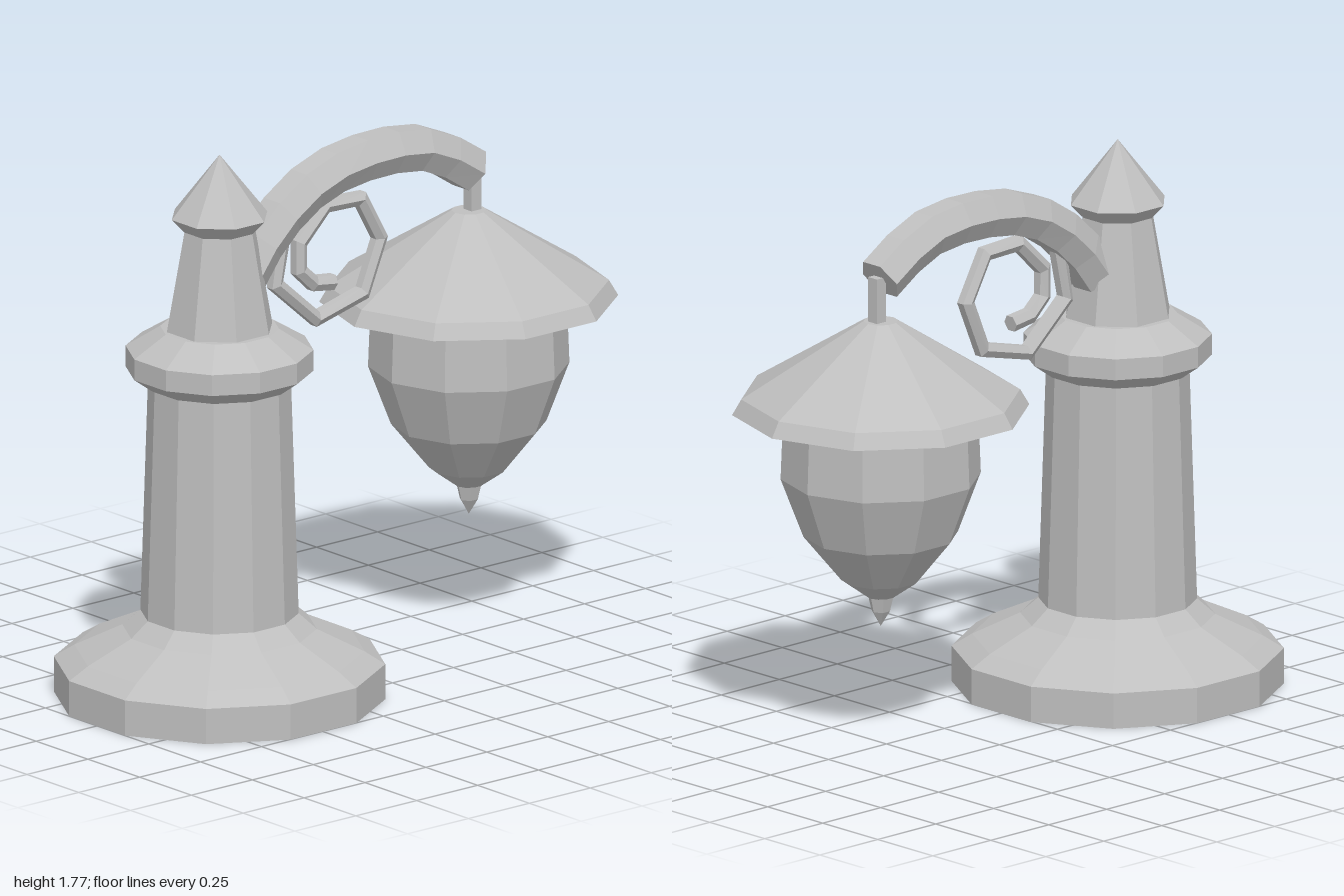
import * as THREE from 'three';

// Faceted solid of revolution standing at depth z
function turned(name, material, profile, sides, z, flatFront) {
  const a = Math.PI / sides;
  // profiles of flat-fronted parts hold the distance to the flats
  const k = flatFront ? 1 / Math.cos(a) : 1;
  const pts = profile.map(([r, y]) => new THREE.Vector2(r * k, y));
  const geo = new THREE.LatheGeometry(pts, sides, flatFront ? a : 0).toNonIndexed();
  geo.computeVertexNormals();
  const mesh = new THREE.Mesh(geo, material);
  mesh.name = name;
  mesh.position.z = z;
  return mesh;
}

// Hexagonal bar swept along a path of [z, y] points in the x = 0 plane
function bar(name, material, path, radius) {
  const sides = 6, pos = [];
  const rings = path.map(([z, y], i) => {
    const p = path[Math.max(i - 1, 0)], q = path[Math.min(i + 1, path.length - 1)];
    const len = Math.hypot(q[0] - p[0], q[1] - p[1]);
    const nz = (q[1] - p[1]) / len, ny = -(q[0] - p[0]) / len;
    return Array.from({ length: sides }, (_, k) => {
      const a = (k / sides) * Math.PI * 2, s = radius * Math.sin(a);
      return [radius * Math.cos(a), y + ny * s, z + nz * s];
    });
  });
  const tri = (a, b, c) => pos.push(...a, ...b, ...c);
  for (let i = 0; i < rings.length - 1; i++) {
    for (let k = 0; k < sides; k++) {
      const n = (k + 1) % sides, r = rings[i], s = rings[i + 1];
      tri(r[k], s[k], s[n]);
      tri(r[k], s[n], r[n]);
    }
  }
  const first = rings[0], last = rings[rings.length - 1];
  for (let k = 1; k < sides - 1; k++) {
    tri(first[0], first[k], first[k + 1]);
    tri(last[0], last[k + 1], last[k]);
  }
  const geo = new THREE.BufferGeometry();
  geo.setAttribute('position', new THREE.Float32BufferAttribute(pos, 3));
  geo.computeVertexNormals();
  const mesh = new THREE.Mesh(geo, material);
  mesh.name = name;
  return mesh;
}

export function createModel() {
  const grey = new THREE.MeshStandardMaterial({ color: 0xbfbfbf });
  grey.name = 'grey';
  const model = new THREE.Group();
  model.name = 'streetLamp';
  const postZ = 0.4975, lampZ = -0.525;

  // Post
  model.add(
    turned('base', grey, [[0, 0], [0.5025, 0], [0.5025, 0.115], [0.44, 0.155],
      [0.295, 0.225], [0.24, 0.275], [0, 0.275]], 12, postZ, true),
    turned('column', grey, [[0.24, 0.275], [0.217, 1.03]], 12, postZ, true),
    turned('collar', grey, [[0, 1.025], [0.225, 1.025], [0.285, 1.07], [0.285, 1.138],
      [0.18, 1.205], [0, 1.205]], 12, postZ, true),
    turned('spire', grey, [[0.16, 1.205], [0.106, 1.53]], 8, postZ, true),
    turned('spireCap', grey, [[0, 1.525], [0.106, 1.525], [0.145, 1.57], [0, 1.77]], 8, postZ, true),
  );

  // Curved arm
  const curve = new THREE.CatmullRomCurve3([
    [0.4, 1.35], [0.29, 1.485], [0.105, 1.605], [-0.12, 1.645], [-0.35, 1.622], [-0.528, 1.52],
  ].map(([z, y]) => new THREE.Vector3(0, y, z)));
  model.add(bar('arm', grey, curve.getSpacedPoints(9).map((p) => [p.z, p.y]), 0.077));

  // Spiral scroll below the arm
  model.add(bar('scroll', grey, [
    [0.225, 1.54], [0.24, 1.46], [0.27, 1.3], [0.104, 1.155], [-0.088, 1.203], [-0.158, 1.37],
    [-0.078, 1.513], [0.067, 1.519], [0.172, 1.417], [0.172, 1.326], [0.115, 1.273], [0.035, 1.262],
  ], 0.028));

  // Hanging lantern
  const rod = new THREE.Mesh(new THREE.BoxGeometry(0.04, 0.17, 0.04), grey);
  rod.name = 'hangingRod';
  rod.position.set(0, 1.445, -0.54);
  model.add(
    rod,
    turned('shade', grey, [[0, 1.34], [0.42, 1.13], [0.469, 1.095], [0.44, 1.145],
      [0.055, 1.385], [0, 1.385]], 10, lampZ, false),
    turned('globe', grey, [[0, 0.488], [0.045, 0.488], [0.125, 0.545], [0.244, 0.69],
      [0.316, 0.88], [0.309, 1.06], [0.28, 1.1], [0.27, 1.19]], 10, lampZ, false),
    turned('globeTip', grey, [[0, 0.39], [0.03, 0.44], [0.042, 0.49]], 6, lampZ, false),
  );
  return model;
}
